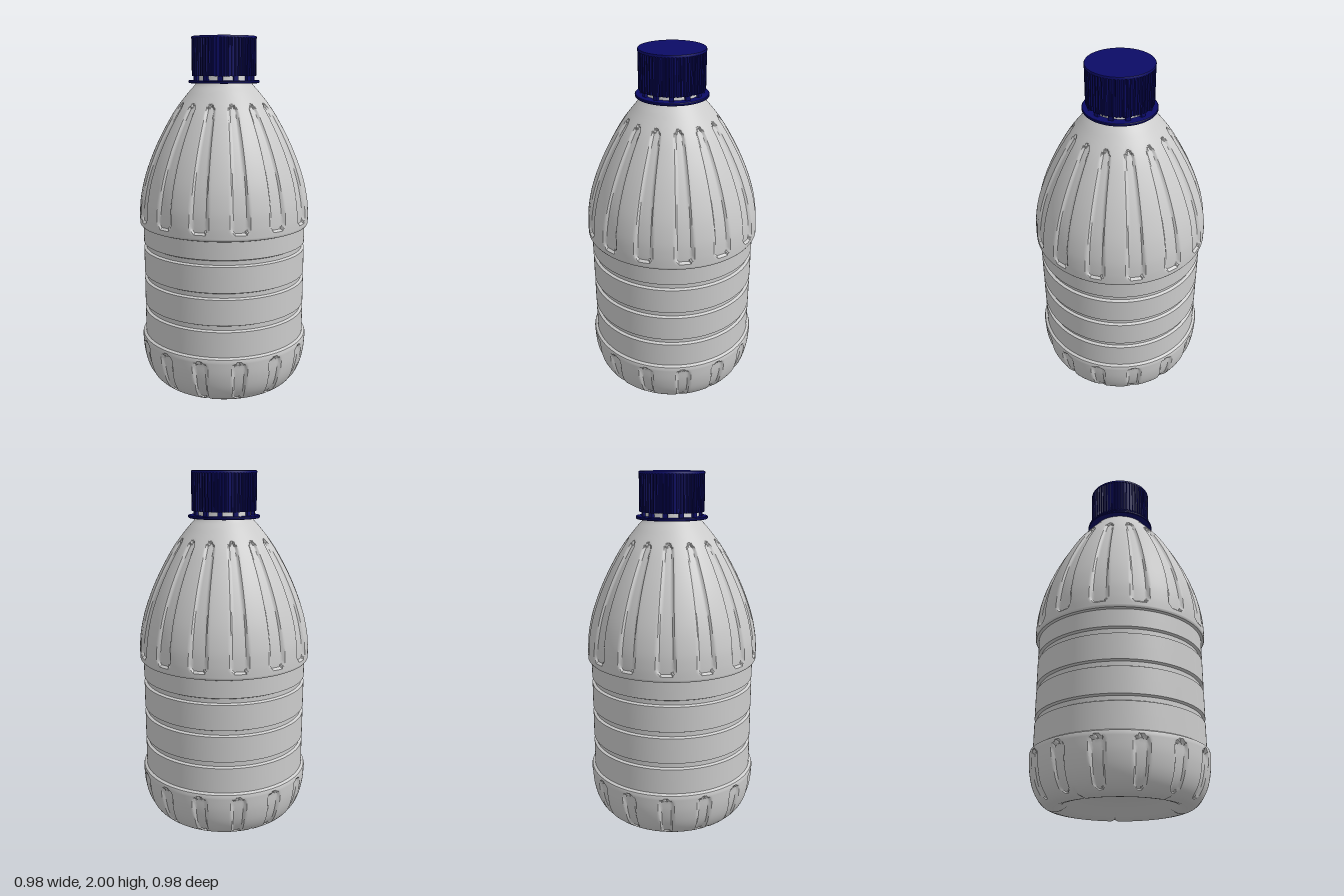
import * as THREE from 'three';
import { toCreasedNormals } from 'three/addons/utils/BufferGeometryUtils.js';

const FLUTES = 14;
const SEGMENTS = FLUTES * 24;

// Crease at a large scale so that fine detail is not merged
function crease(geometry, angle) {
  const out = toCreasedNormals(geometry.scale(100, 100, 100), angle);
  return out.scale(0.01, 0.01, 0.01);
}

// Splits a polyline into short steps
function subdivide(points, step) {
  const out = [];
  for (let i = 0; i < points.length - 1; i++) {
    const a = points[i], b = points[i + 1];
    const n = Math.max(1, Math.ceil(a.distanceTo(b) / step));
    for (let k = 0; k < n; k++) out.push(a.clone().lerp(b, k / n));
  }
  out.push(points[points.length - 1].clone());
  return out;
}

const vectors = (list) => list.map(([x, y]) => new THREE.Vector2(x, y));
const curve = (list, n) => new THREE.SplineCurve(vectors(list)).getPoints(n);

// Depth of a tapered, round-ended flute at height y and arc distance s from its centre line
function fluteDepth(y, s, f) {
  if (y <= f.y0 || y >= f.y1) return 0;
  const half = THREE.MathUtils.lerp(f.w0, f.w1, (y - f.y0) / (f.y1 - f.y0));
  const radius = Math.min(half, 0.035);
  const end = Math.min(y - f.y0, f.y1 - y, radius);
  const width = half - radius + Math.sqrt(radius ** 2 - (radius - end) ** 2);
  return f.depth * THREE.MathUtils.smoothstep(width - Math.abs(s), 0, 0.014);
}

function bodyGeometry() {
  // Domed underside, rounded foot and lower band
  const profile = [
    ...curve([[0, 0.14], [0.1, 0.118], [0.22, 0.07], [0.31, 0.012], [0.35, 0]], 16),
    ...curve([[0.352, 0], [0.395, 0.012], [0.435, 0.05], [0.465, 0.11], [0.483, 0.19], [0.489, 0.275]], 26),
    ...vectors([[0.485, 0.289], [0.47, 0.297]]),
  ];
  // Straight panels parted by three grooves
  for (const y of [0.46, 0.643, 0.825]) {
    profile.push(...vectors([[0.47, y - 0.019], [0.455, y - 0.012], [0.455, y + 0.012], [0.47, y + 0.019]]));
  }
  profile.push(...vectors([[0.47, 0.943], [0.484, 0.948]]));
  // Shoulder running up to the neck
  profile.push(...curve([[0.489, 0.956], [0.489, 1.02], [0.482, 1.1], [0.461, 1.2], [0.428, 1.3], [0.386, 1.4],
    [0.335, 1.5], [0.275, 1.6], [0.205, 1.69], [0.165, 1.735], [0.15, 1.76]], 66));
  profile.push(...vectors([[0.15, 1.9]]));

  const geometry = new THREE.LatheGeometry(subdivide(profile, 0.08), SEGMENTS);
  const shoulder = { y0: 0.985, y1: 1.632, w0: 0.056, w1: 0.028, depth: 0.014 };
  const foot = { y0: 0.022, y1: 0.264, w0: 0.032, w1: 0.048, depth: 0.014 };
  const pitch = (Math.PI * 2) / FLUTES;
  const footPitch = (Math.PI * 2) / 5;
  const pos = geometry.attributes.position;
  for (let i = 0; i < pos.count; i++) {
    const x = pos.getX(i), y = pos.getY(i), z = pos.getZ(i);
    const r = Math.hypot(x, z);
    if (r < 0.01) continue;
    // Flutes pressed into the shoulder and foot
    const a = Math.atan2(z, x);
    const s = r * (a - Math.round(a / pitch) * pitch);
    const inset = r > 0.36 || y > 1 ? fluteDepth(y, s, shoulder) + fluteDepth(y, s, foot) : 0;
    const k = (r - inset) / r;
    // Five fine radial notches under the foot
    const b = a + Math.PI / 2;
    const t = r * (b - Math.round(b / footPitch) * footPitch);
    const notch = y < 0.04 && r > 0.29 ? 0.01 * Math.exp(-((t / 0.01) ** 2)) * (1 - y / 0.04) : 0;
    pos.setXYZ(i, x * k, y + notch, z * k);
  }
  geometry.deleteAttribute('normal');
  geometry.deleteAttribute('uv');
  return crease(geometry, 0.6);
}

// Gear-like outline for the grip of the cap
function gripShape(count, inner, outer) {
  const shape = new THREE.Shape();
  for (let i = 0; i < count; i++) {
    [[0, inner], [0.35, inner], [0.5, outer], [0.85, outer]].forEach(([f, r], j) => {
      const a = ((i + f) / count) * Math.PI * 2;
      const x = r * Math.cos(a), y = r * Math.sin(a);
      if (i + j === 0) shape.moveTo(x, y);
      else shape.lineTo(x, y);
    });
  }
  shape.closePath();
  return shape;
}

export function createModel() {
  const model = new THREE.Group();
  const grey = new THREE.MeshStandardMaterial({ color: 0xcccccc, side: THREE.DoubleSide });
  const blue = new THREE.MeshStandardMaterial({ color: 0x0b0b66 });

  const add = (name, geometry, material, y = 0, parent = model) => {
    const mesh = new THREE.Mesh(geometry, material);
    mesh.name = name;
    mesh.position.y = y;
    parent.add(mesh);
    return mesh;
  };

  add('bottleBody', bodyGeometry(), grey);

  const cap = new THREE.Group();
  cap.name = 'cap';
  model.add(cap);

  // Ridged grip and plain top
  const grip = new THREE.ExtrudeGeometry(gripShape(60, 0.174, 0.181), { depth: 0.205, bevelEnabled: false });
  grip.rotateX(-Math.PI / 2);
  add('capGrip', grip, blue, 1.785, cap);
  const top = new THREE.LatheGeometry(vectors([[0.174, 0], [0.182, 0], [0.182, 0.008], [0.18, 0.012], [0, 0.012]]), 72);
  add('capTop', crease(top, 0.5), blue, 1.988, cap);

  // Tamper ring joined to the cap by small bridges
  const ring = new THREE.LatheGeometry(
    vectors([[0.15, 0], [0.197, 0], [0.2, 0.004], [0.2, 0.012], [0.197, 0.015], [0.15, 0.015], [0.15, 0]]), 72);
  add('tamperRing', crease(ring, 0.5), blue, 1.746, cap);
  const bridge = new THREE.BoxGeometry(0.016, 0.034, 0.026);
  for (let i = 0; i < 12; i++) {
    const a = (i / 12) * Math.PI * 2;
    const mesh = add('ringBridge', bridge, blue, 1.773, cap);
    mesh.position.x = 0.163 * Math.cos(a);
    mesh.position.z = 0.163 * Math.sin(a);
    mesh.rotation.y = -a;
  }
  return model;
}
